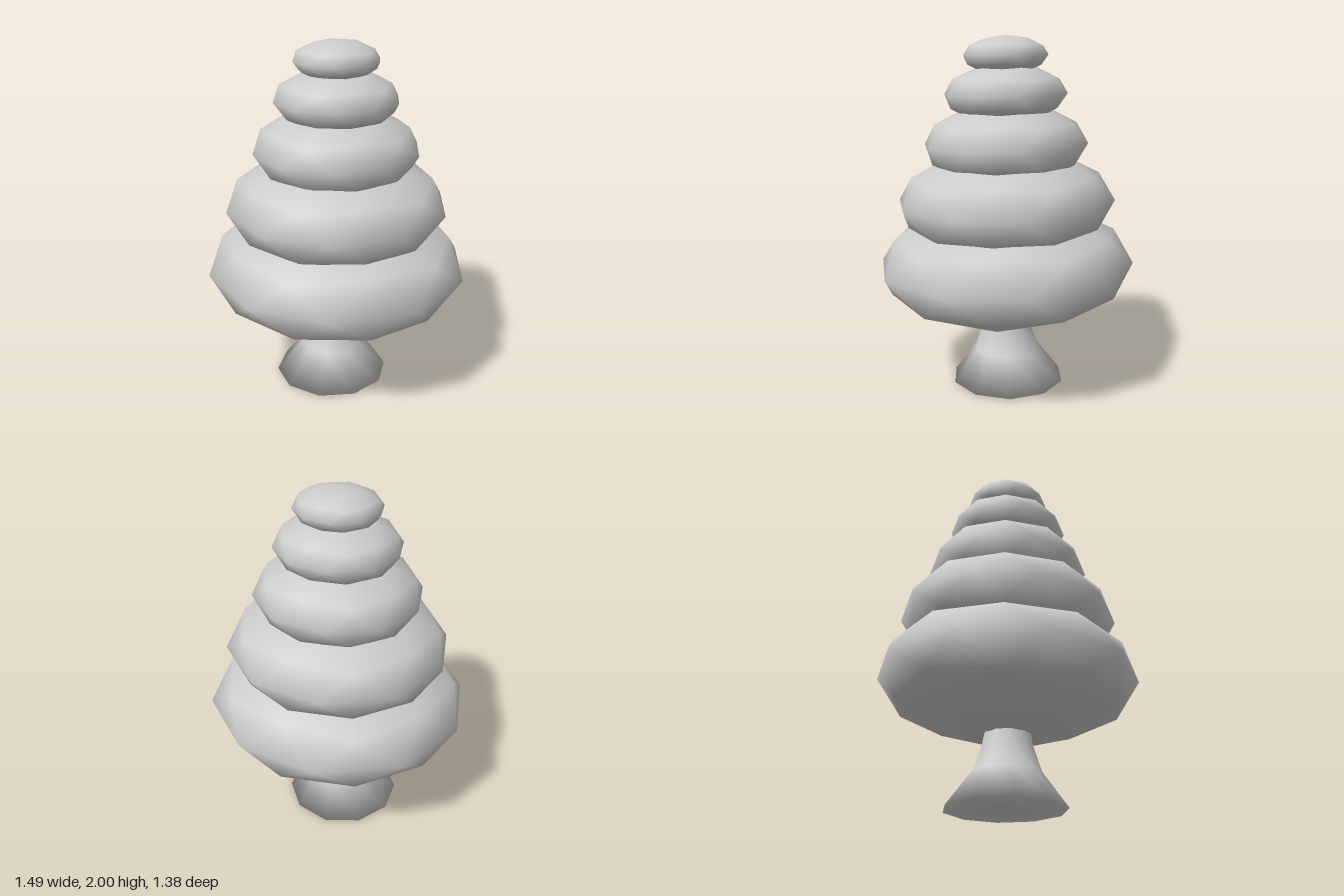
import * as THREE from 'three';

const material = new THREE.MeshStandardMaterial({ color: 0xcccccc });

// Flattened low-poly ball with a pole on +y, leaning very slightly forward
function createTier(radius, halfHeight, y) {
  const geometry = new THREE.IcosahedronGeometry(1, 1);
  geometry.rotateX(-Math.atan2((1 + Math.sqrt(5)) / 2, 1));
  geometry.scale(radius, halfHeight, radius * 0.975);
  geometry.rotateX(0.02);
  const tier = new THREE.Mesh(geometry, material);
  tier.position.y = y;
  return tier;
}

// Ten-sided flared trunk with a closed base, its foot shifted towards -x
function createTrunk() {
  const profile = [[0, 0], [0.33, 0.005], [0.19, 0.2], [0.14, 0.35], [0.12, 0.48]]
    .map(([r, y]) => new THREE.Vector2(r, y));
  const geometry = new THREE.LatheGeometry(profile, 10, Math.PI / 4);
  const position = geometry.attributes.position;
  for (let i = 0; i < position.count; i++) {
    const lean = 0.035 * Math.max(0, 1 - position.getY(i) / 0.48);
    position.setX(i, position.getX(i) - lean);
  }
  return new THREE.Mesh(geometry, material);
}

export function createModel() {
  const tree = new THREE.Group();
  tree.name = 'tree';

  const trunk = createTrunk();
  trunk.name = 'trunk';
  tree.add(trunk);

  // Foliage tiers from bottom to top: radius, half height, centre height
  const foliage = new THREE.Group();
  foliage.name = 'foliage';
  [
    [0.745, 0.335, 0.727],
    [0.63, 0.29, 1.09],
    [0.47, 0.23, 1.41],
    [0.35, 0.165, 1.685],
    [0.24, 0.107, 1.893],
  ].forEach((size, i) => {
    const tier = createTier(...size);
    tier.name = `foliageTier${i + 1}`;
    foliage.add(tier);
  });
  tree.add(foliage);

  return tree;
}
